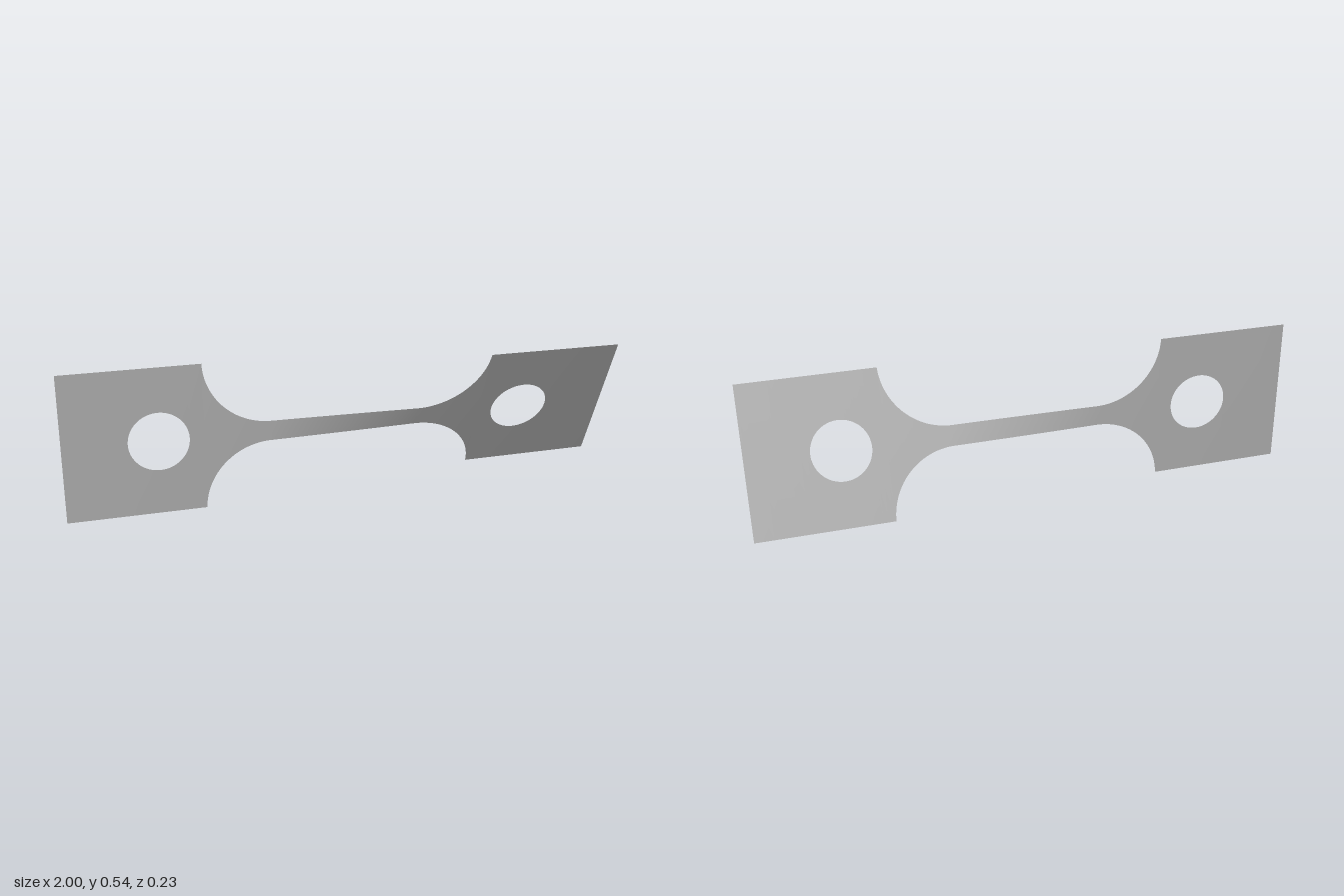
import * as THREE from 'three';
import { mergeGeometries, mergeVertices } from 'three/addons/utils/BufferGeometryUtils.js';

const H = 0.2705;              // half height of the grips
const NECK = 0.037;            // half height of the narrow gauge
const R = 0.24;                // shoulder fillet radius
const NECK_END = 0.27;         // where the fillets begin
const HOLE_X = 0.668, HOLE_R = 0.107;
const SHOULDER = NECK_END + Math.sqrt(R * R - (NECK + R - H) ** 2);

// Twist about the x axis, in degrees, along the length
const TWIST = [[-1, 0.1], [-SHOULDER, 0.8], [-NECK_END, 2], [NECK_END, 23], [SHOULDER, 24.2], [1, 24.9]];
function twistAt(x) {
  let i = 0;
  while (i < TWIST.length - 2 && x > TWIST[i + 1][0]) i++;
  const [x0, a0] = TWIST[i], [x1, a1] = TWIST[i + 1];
  return THREE.MathUtils.degToRad(a0 + (a1 - a0) * (x - x0) / (x1 - x0));
}

// Thin strip from x0 to x1 between two height curves, bent by the twist
function strip(x0, x1, low, high, columns, rows = 4) {
  const g = new THREE.PlaneGeometry(1, 1, columns, rows);
  const p = g.attributes.position;
  for (let i = 0; i < p.count; i++) {
    const t = (1 - Math.cos((p.getX(i) + 0.5) * Math.PI)) / 2;   // denser at both ends
    const x = x0 + (x1 - x0) * t;
    const y = THREE.MathUtils.lerp(low(x), high(x), p.getY(i) + 0.5);
    const a = twistAt(x);
    p.setXYZ(i, x, H + y * Math.cos(a), y * Math.sin(a));
  }
  g.deleteAttribute('uv');
  g.deleteAttribute('normal');
  return g;
}

function sheet(name, pieces, material) {
  const g = mergeVertices(mergeGeometries(pieces), 1e-5);
  g.computeVertexNormals();
  const mesh = new THREE.Mesh(g, material);
  mesh.name = name;
  return mesh;
}

export function createModel() {
  const group = new THREE.Group();
  group.name = 'twistedTestStrip';
  const metal = new THREE.MeshStandardMaterial({ color: 0xb8b8b8, side: THREE.DoubleSide });
  metal.name = 'plain grey';

  const top = () => H, bottom = () => -H;
  const neckTop = () => NECK, neckBottom = () => -NECK;

  for (const side of [-1, 1]) {
    // Mirrors an x range while keeping it in ascending order
    const span = (a, b) => (side > 0 ? [a, b] : [-b, -a]);
    const hole = (x) => Math.sqrt(Math.max(0, HOLE_R ** 2 - (Math.abs(x) - HOLE_X) ** 2));
    const fillet = (x) => NECK + R - Math.sqrt(Math.max(0, R * R - (Math.abs(x) - NECK_END) ** 2));
    const label = side > 0 ? 'left' : 'right';

    // Square grip with a round hole
    const around = span(HOLE_X - HOLE_R, HOLE_X + HOLE_R);
    group.add(sheet(label + 'Grip', [
      strip(...span(HOLE_X + HOLE_R, 1), bottom, top, 8),
      strip(...around, hole, top, 40),
      strip(...around, bottom, (x) => -hole(x), 40),
      strip(...span(SHOULDER, HOLE_X - HOLE_R), bottom, top, 4),
    ], metal));

    // Curved shoulder running down to the gauge
    group.add(sheet(label + 'Shoulder',
      [strip(...span(NECK_END, SHOULDER), (x) => -fillet(x), fillet, 40)], metal));
  }

  // Narrow twisted gauge
  group.add(sheet('gauge', [strip(-NECK_END, NECK_END, neckBottom, neckTop, 32)], metal));
  return group;
}
